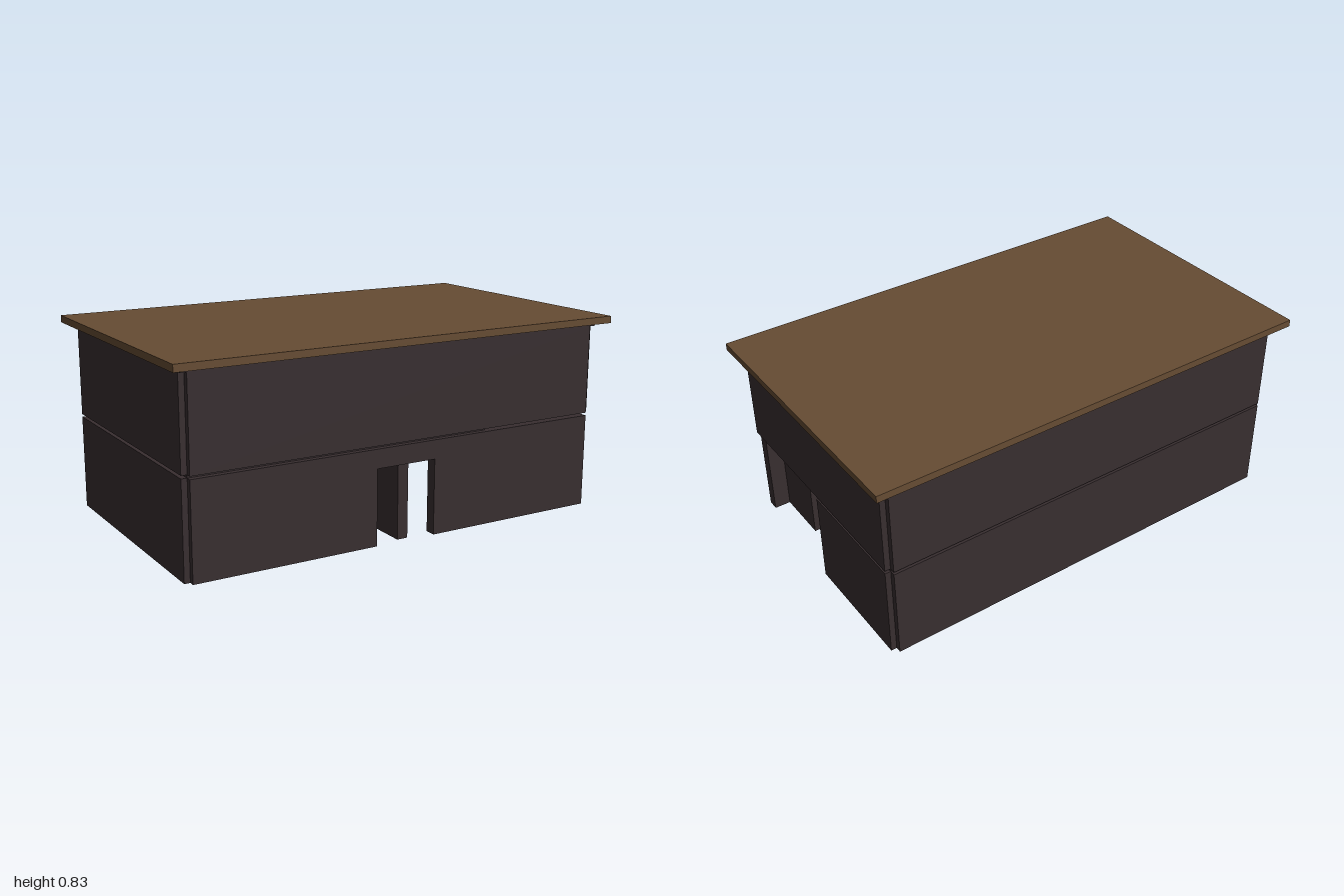
import * as THREE from 'three';

export function createModel() {
  const house = new THREE.Group();
  house.name = 'house';
  const wallMat = new THREE.MeshStandardMaterial({ color: 0x382e30 });
  wallMat.name = 'dark timber';
  const roofMat = new THREE.MeshStandardMaterial({ color: 0x664c33 });
  roofMat.name = 'brown roof';

  // Mesh placed by its min/max extents
  const add = (name, geo, mat, x, y, z) => {
    const m = new THREE.Mesh(geo, mat);
    m.name = name;
    m.position.set(x, y, z);
    house.add(m);
    return m;
  };
  const box = (name, x0, x1, y0, y1, z0, z1, mat = wallMat) =>
    add(name, new THREE.BoxGeometry(x1 - x0, y1 - y0, z1 - z0), mat,
      (x0 + x1) / 2, (y0 + y1) / 2, (z0 + z1) / 2);

  const W = 0.929, D = 0.53, T = 0.024; // wall centre lines and half thickness
  const H1 = 0.4, F = 0.412, H2 = 0.79, C = 0.805, R = 0.835;
  const DOOR = 0.136, DOOR_H = 0.32;

  // Wall of length 2*half with a centred doorway, lying in the xy plane
  const doorWall = (name, half) => {
    const s = new THREE.Shape([
      [-half, 0], [-DOOR, 0], [-DOOR, DOOR_H], [DOOR, DOOR_H],
      [DOOR, 0], [half, 0], [half, H1], [-half, H1],
    ].map(([x, y]) => new THREE.Vector2(x, y)));
    const geo = new THREE.ExtrudeGeometry(s, { depth: 2 * T, bevelEnabled: false });
    geo.translate(0, 0, -T);
    return add(name, geo, wallMat, 0, 0, 0);
  };

  // Ground floor walls
  doorWall('lowerFrontWall', W).position.z = D;
  box('lowerBackWall', -W, W, 0, H1, -D - T, -D + T);
  box('lowerRightWall', -W - T, -W + T, 0, H1, -D, D);
  box('lowerLeftWall', W - T, W + T, 0, H1, -D, 0);
  doorWall('partitionWall', D).rotation.y = Math.PI / 2;

  // Upper floor slab, leaving a stairwell at the front left
  box('floorMain', -W, 0.4, H1, F, -D, D);
  box('floorBesideStairs', 0.4, W, H1, F, -D, 0.265);

  // Solid staircase climbing towards the open side
  const steps = 10, sx = 0.36, run = 0.05, rise = H1 / steps;
  const profile = new THREE.Shape();
  profile.moveTo(sx, 0);
  for (let i = 0; i < steps; i++) {
    profile.lineTo(sx + i * run, (i + 1) * rise);
    profile.lineTo(sx + (i + 1) * run, (i + 1) * rise);
  }
  profile.lineTo(sx + steps * run, 0);
  add('staircase', new THREE.ExtrudeGeometry(profile, { depth: 0.24, bevelEnabled: false }),
    wallMat, 0, 0, 0.265);

  // Upper floor walls
  for (const s of [-1, 1]) {
    box(s > 0 ? 'upperFrontWall' : 'upperBackWall', -W, W, F, H2, s * D - T, s * D + T);
    box(s > 0 ? 'upperLeftWall' : 'upperRightWall', s * W - T, s * W + T, F, H2, -D, D);
  }

  // Ceiling and overhanging flat roof
  box('ceiling', -W - T, W + T, H2, C, -D - T, D + T);
  box('roof', -1, 1, C, R, -0.602, 0.602, roofMat);

  return house;
}
